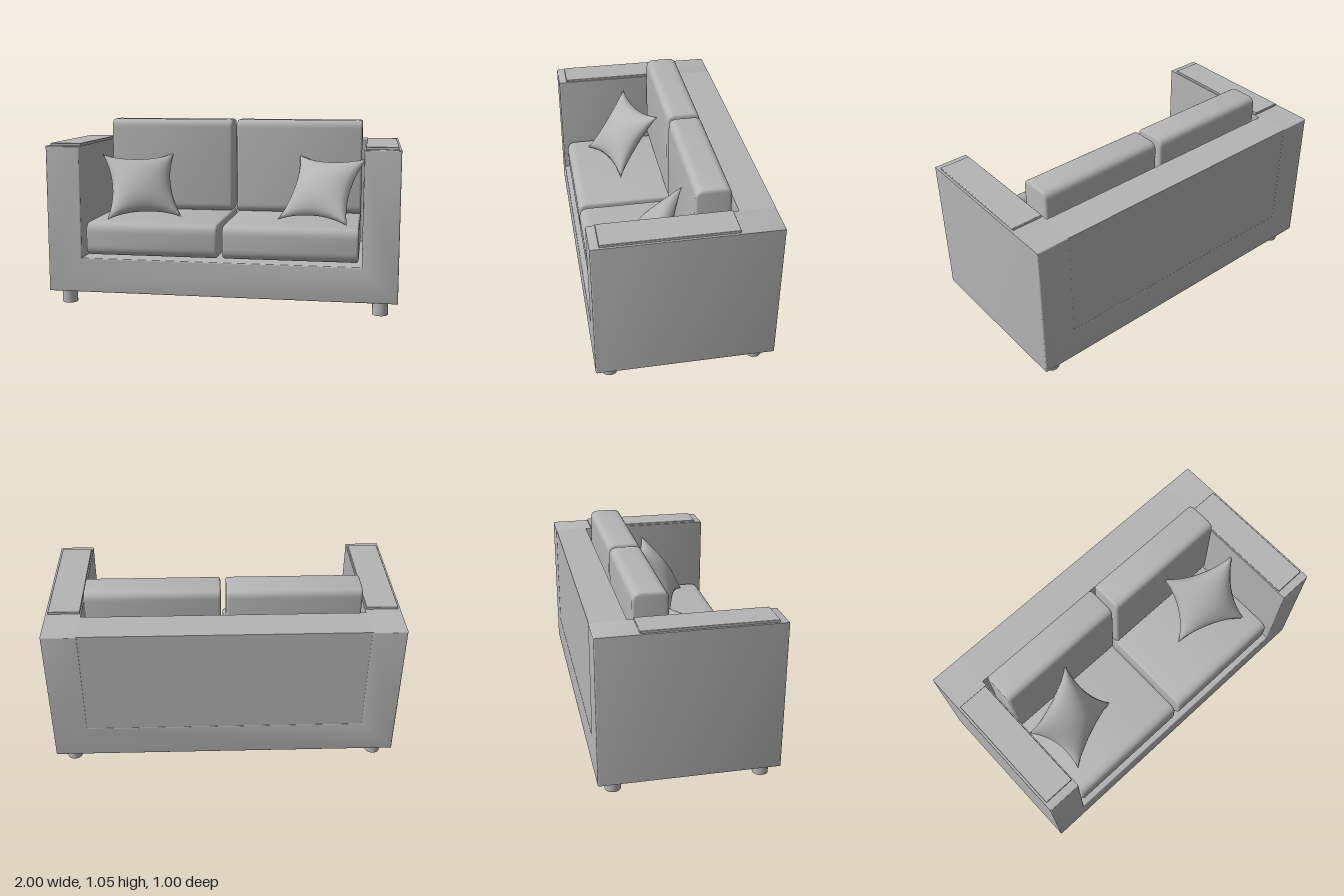
import * as THREE from 'three';
import { mergeGeometries, mergeVertices, toCreasedNormals } from 'three/addons/utils/BufferGeometryUtils.js';
import { RoundedBoxGeometry } from 'three/addons/geometries/RoundedBoxGeometry.js';

const fabric = new THREE.MeshStandardMaterial({ color: 0xb5b5b5 });
fabric.name = 'grey fabric';

function add(parent, name, geometry, x = 0, y = 0, z = 0) {
  const mesh = new THREE.Mesh(geometry, fabric);
  mesh.name = name;
  mesh.position.set(x, y, z);
  parent.add(mesh);
  return mesh;
}

// Extrude centred on its depth, with a small rounded edge that stays inside the outline
function extrude(shape, depth, bevel) {
  const geometry = new THREE.ExtrudeGeometry(shape, {
    depth: depth - 2 * bevel, bevelThickness: bevel, bevelSize: bevel,
    bevelOffset: -bevel, bevelSegments: 3, curveSegments: 8,
  });
  geometry.translate(0, 0, bevel - depth / 2);
  return toCreasedNormals(geometry, 0.7);
}

// Cushion: rounded side profile swept along x
function cushion(width, height, depth, radius) {
  const w = depth / 2, h = height / 2, r = radius;
  const s = new THREE.Shape();
  s.moveTo(-w + r, -h);
  s.lineTo(w - r, -h);
  s.quadraticCurveTo(w, -h, w, -h + r);
  s.lineTo(w, h - r);
  s.quadraticCurveTo(w, h, w - r, h);
  s.lineTo(-w + r, h);
  s.quadraticCurveTo(-w, h, -w, h - r);
  s.lineTo(-w, -h + r);
  s.quadraticCurveTo(-w, -h, -w + r, -h);
  return extrude(s, width, 0.014).rotateY(Math.PI / 2);
}

// Throw pillow: two bulged sheets with drawn-in sides and pointed corners
function pillow(width, height, bulge) {
  const sheets = [1, -1].map((side) => {
    const g = new THREE.PlaneGeometry(2, 2, 28, 28);
    if (side < 0) g.rotateY(Math.PI);
    const p = g.attributes.position;
    for (let i = 0; i < p.count; i++) {
      const s = p.getX(i), t = p.getY(i);
      const a = Math.max(0, 1 - s * s), b = Math.max(0, 1 - t * t);
      p.setXYZ(i,
        s * width / 2 * (1 - 0.2 * b),
        t * height / 2 * (1 - 0.2 * a),
        side * bulge * Math.pow(a * b, 0.6));
    }
    g.deleteAttribute('uv');
    g.deleteAttribute('normal');
    return g;
  });
  const geometry = mergeVertices(mergeGeometries(sheets), 1e-4);
  geometry.computeVertexNormals();
  return geometry;
}

export function createModel() {
  const sofa = new THREE.Group();
  sofa.name = 'sofa';

  // Base and both arms in one U-shaped body
  const body = new THREE.Shape([
    [-1, 0.08], [1, 0.08], [1, 0.925], [0.8, 0.925],
    [0.8, 0.28], [-0.8, 0.28], [-0.8, 0.925], [-1, 0.925],
  ].map(([x, y]) => new THREE.Vector2(x, y)));
  add(sofa, 'baseAndArms', extrude(body, 1, 0.007));
  add(sofa, 'backrest', new THREE.BoxGeometry(1.62, 0.665, 0.197), 0, 0.5925, -0.4);

  const seat = cushion(0.765, 0.195, 0.755, 0.06);
  const back = cushion(0.765, 0.57, 0.195, 0.05);
  const pad = new RoundedBoxGeometry(0.18, 0.03, 0.72, 2, 0.004);
  const leg = new THREE.CylinderGeometry(0.044, 0.044, 0.09, 24);
  const pillowGeometry = pillow(0.442, 0.456, 0.085);

  for (const side of [1, -1]) {
    const label = side > 0 ? 'left' : 'right';
    add(sofa, label + 'SeatCushion', seat, side * 0.3975, 0.3875, 0.0975);
    add(sofa, label + 'BackCushion', back, side * 0.3975, 0.77, -0.172);
    add(sofa, label + 'ArmPad', pad, side * 0.897, 0.924, 0.092);
    add(sofa, label + 'FrontLeg', leg, side * 0.905, 0.045, 0.415);
    add(sofa, label + 'BackLeg', leg, side * 0.905, 0.045, -0.408);

    // Pillow leaning back and turned towards the middle
    const across = new THREE.Vector3(0.928, 0, side * 0.373).normalize();
    const up = new THREE.Vector3(side * 0.23, 0.79, -0.57).normalize();
    const out = new THREE.Vector3().crossVectors(across, up).normalize();
    const throwPillow = add(sofa, label + 'ThrowPillow', pillowGeometry,
      side > 0 ? 0.556 : -0.538, 0.664, 0.129);
    throwPillow.quaternion.setFromRotationMatrix(new THREE.Matrix4().makeBasis(across, up, out));
  }
  return sofa;
}
